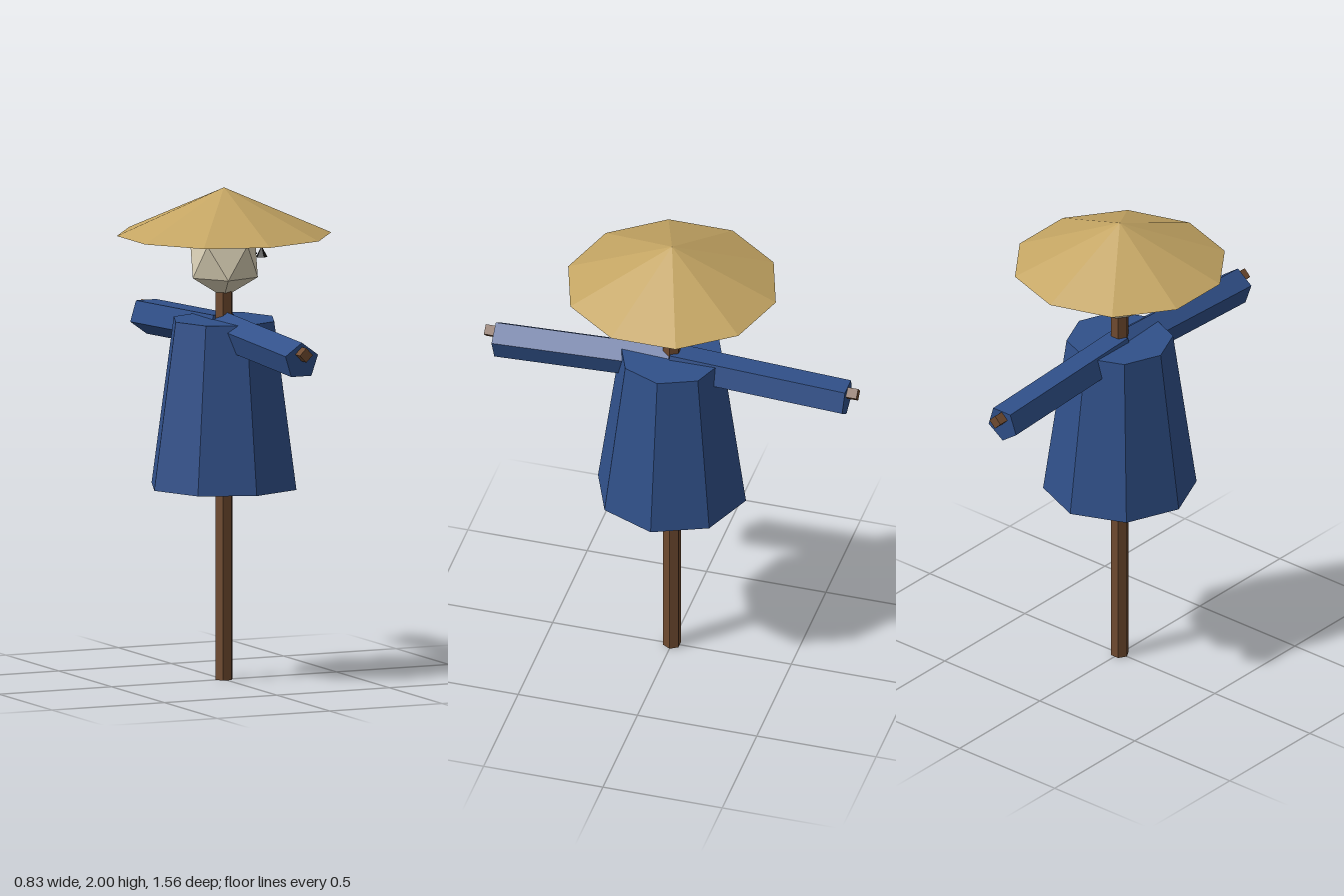
import * as THREE from 'three';

const flat = (name, color) => {
  const m = new THREE.MeshStandardMaterial({ color, flatShading: true });
  m.name = name;
  return m;
};

export function createModel() {
  const wood = flat('wood', 0x704b30);
  const cloth = flat('blue cloth', 0x305089);
  const straw = flat('straw', 0xc4a563);
  const sack = flat('sackcloth', 0xd8ceb4);
  const black = flat('black', 0x161616);

  const group = new THREE.Group();
  const add = (name, geometry, material, x = 0, y = 0, z = 0) => {
    const mesh = new THREE.Mesh(geometry, material);
    mesh.name = name;
    mesh.position.set(x, y, z);
    group.add(mesh);
    return mesh;
  };

  // Upright post and the crossbar through the sleeves
  add('post', new THREE.CylinderGeometry(0.037, 0.037, 1.64, 6, 1, false, Math.PI / 2), wood, 0, 0.82);
  add('crossbar', new THREE.CylinderGeometry(0.029, 0.029, 1.56, 4).rotateX(Math.PI / 2), wood, 0, 1.417);

  // Eight-sided coat
  add('coat', new THREE.CylinderGeometry(0.215, 0.31, 0.68, 8), cloth, 0, 1.125);

  // Five-sided sleeves, drooping slightly towards the cuffs
  const droop = 0.046, length = 0.735;
  for (const side of [1, -1]) {
    const sleeve = add(side > 0 ? 'leftSleeve' : 'rightSleeve',
      new THREE.CylinderGeometry(0.076, 0.076, length, 5),
      cloth, 0, 1.421 - droop * length / 2, side * length / 2);
    // the left sleeve has a ridge on top, the right one a flat face
    sleeve.rotation.x = side > 0 ? -Math.PI / 2 + droop : Math.PI / 2 - droop;
  }

  // Faceted head, standing on one corner
  const tilt = Math.atan(2 / (1 + Math.sqrt(5)));
  add('head', new THREE.IcosahedronGeometry(0.155, 0).rotateZ(-tilt), sack, 0, 1.708);

  // Eyes on the +x side of the head
  for (const side of [1, -1]) {
    add(side > 0 ? 'leftEye' : 'rightEye', new THREE.ConeGeometry(0.024, 0.044, 5), black, 0.144, 1.737, side * 0.049);
  }

  // Wide conical hat
  add('hat', new THREE.ConeGeometry(0.435, 0.19, 10), straw, 0, 1.905);

  return group;
}
